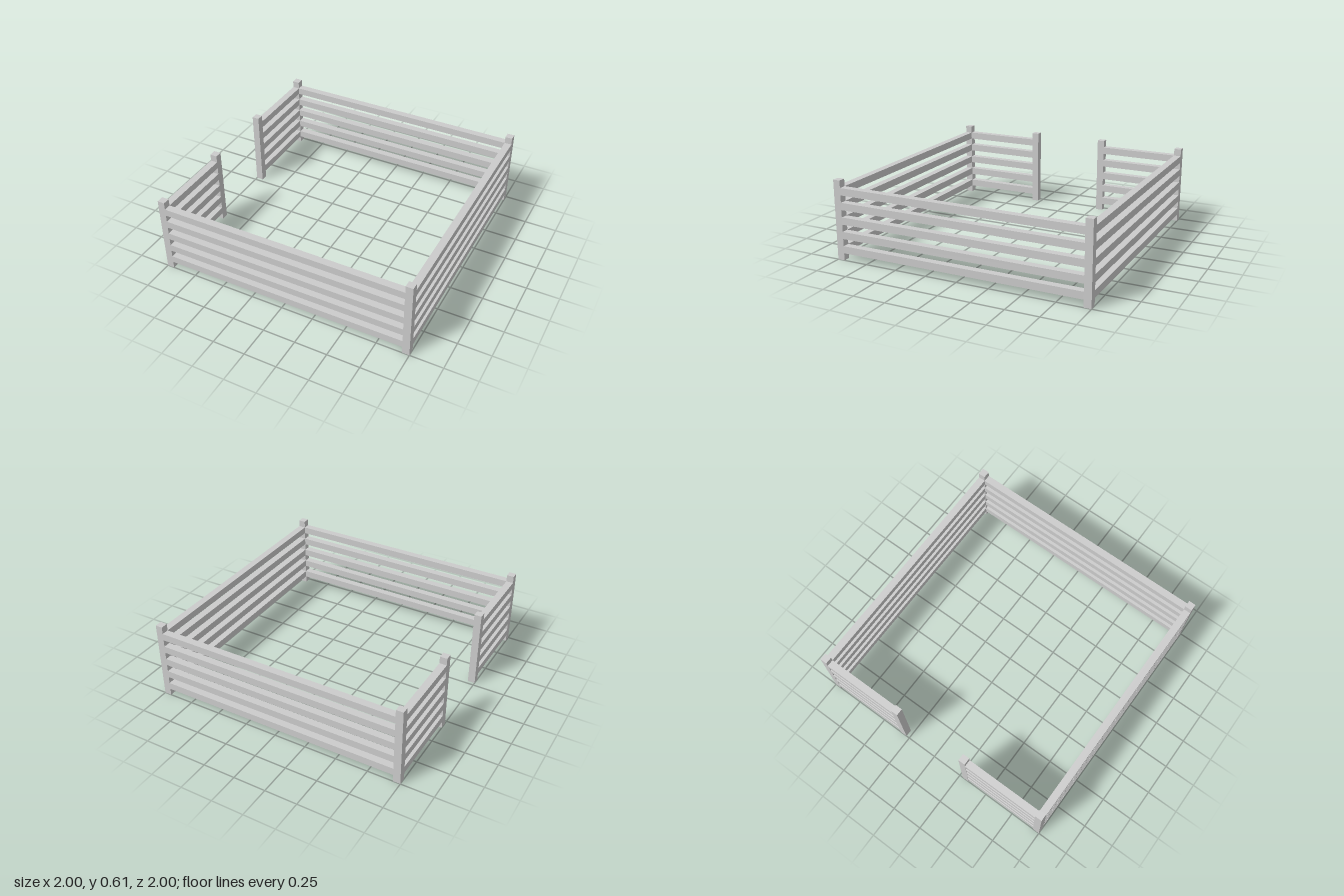
import * as THREE from 'three';

// Everything sits on a grid of one post width.
const U = 1 / 18;
const POST_HEIGHT = 11 * U;
const EDGE = 1 - U / 2; // centre line of the fence sides
const GATE = 5.5 * U; // gate post distance from the middle

export function createModel() {
  const model = new THREE.Group();
  model.name = 'fencePen';
  const material = new THREE.MeshStandardMaterial({ color: 0xcccccc, flatShading: true });

  const addBox = (parent, name, size, position) => {
    const mesh = new THREE.Mesh(new THREE.BoxGeometry(...size), material);
    mesh.name = name;
    mesh.position.set(...position);
    parent.add(mesh);
  };

  const addPost = (name, x, z) =>
    addBox(model, name, [U, POST_HEIGHT, U], [x, POST_HEIGHT / 2, z]);

  // Five rails running between two post centres, flush with the posts
  const addRails = (name, x0, z0, x1, z1) => {
    const side = new THREE.Group();
    side.name = name;
    const dx = Math.abs(x1 - x0), dz = Math.abs(z1 - z0);
    const size = dx > dz ? [dx - U, U, U] : [U, U, dz - U];
    for (let i = 0; i < 5; i++) {
      addBox(side, 'rail', size, [(x0 + x1) / 2, (1.5 + 2 * i) * U, (z0 + z1) / 2]);
    }
    model.add(side);
  };

  // Front and back halves mirror each other
  for (const [label, s] of [['front', 1], ['back', -1]]) {
    addPost(label + 'LeftPost', EDGE, s * EDGE);
    addPost(label + 'RightPost', -EDGE, s * EDGE);
    addPost(label + 'GatePost', -EDGE, s * GATE);
    addRails(label + 'Rails', -EDGE, s * EDGE, EDGE, s * EDGE);
    addRails(label + 'GateSideRails', -EDGE, s * GATE, -EDGE, s * EDGE);
  }

  // Unbroken side opposite the gate opening
  addRails('leftRails', EDGE, -EDGE, EDGE, EDGE);
  return model;
}
